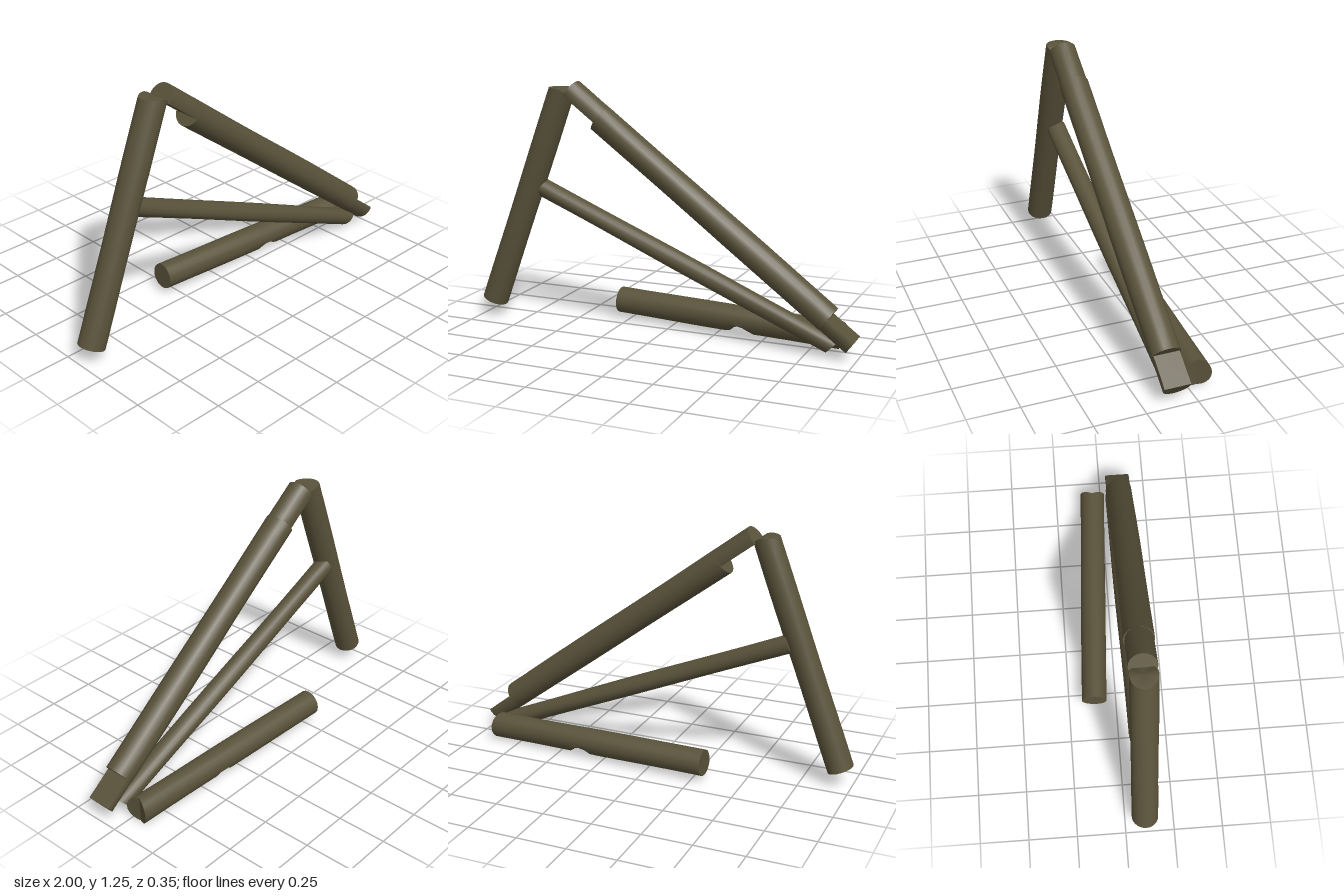
import * as THREE from 'three';
import { toCreasedNormals } from 'three/addons/utils/BufferGeometryUtils.js';

const bark = new THREE.MeshStandardMaterial({ color: 0x59523a });
bark.name = 'dark bark';

// Round log from a to b. Local x points across the log (upward for logs that lean right),
// local y runs along it. shape(p, t) can carve each point, with t from 0 at a to 1 at b.
function log(name, a, b, rx, rz, { shape, wobble = 0.02, seed = 0, rings = 14 } = {}) {
  const start = new THREE.Vector3(...a), end = new THREE.Vector3(...b);
  const dir = end.clone().sub(start), length = dir.length();
  dir.normalize();
  const across = new THREE.Vector3(0, 0, 1).cross(dir).normalize();
  const side = across.clone().cross(dir);
  const geo = new THREE.CylinderGeometry(1, 1, length, 20, rings);
  const pos = geo.attributes.position;
  const p = new THREE.Vector3();
  for (let i = 0; i < pos.count; i++) {
    p.fromBufferAttribute(pos, i);
    const t = p.y / length + 0.5;
    const angle = Math.atan2(p.z, p.x);
    // gentle hand-hewn unevenness
    const k = 1 + wobble * (Math.sin(t * 9 + seed) * 0.6 + Math.sin(angle * 3 + t * 5 + seed * 2) * 0.6);
    p.x *= rx * k;
    p.z *= rz * k;
    if (shape) shape(p, t);
    pos.setXYZ(i, p.x, p.y, p.z);
  }
  geo.applyMatrix4(new THREE.Matrix4().makeBasis(across, dir, side));
  const mid = start.add(end).multiplyScalar(0.5);
  geo.translate(mid.x, mid.y, mid.z);
  const mesh = new THREE.Mesh(toCreasedNormals(geo, 0.6), bark);
  mesh.name = name;
  return mesh;
}

export function createModel() {
  const model = new THREE.Group();
  model.name = 'logFrame';

  // Leaning post with a chamfered top
  model.add(log('post', [-0.937, 0.088, 0.102], [-0.523, 1.205, 0.102], 0.066, 0.067, {
    seed: 1,
    shape: (p, t) => {
      if (t > 0.99) p.y -= Math.abs(p.x + 0.01) * 0.35 - 0.015;
    },
  }));

  // Long sloping beam: full-round middle with a half-lap tongue at each end
  const along = (t) => [0.8 * t + 0.6 * 0.671, -0.6 * t + 0.8 * 0.671, 0.101];
  const beam = new THREE.Group();
  beam.name = 'slopingBeam';
  beam.add(log('beamMiddle', along(-0.893), along(0.572), 0.069, 0.072, { seed: 2 }));
  beam.add(log('upperTongue', along(-1.1), along(-0.88), 0.069, 0.068, {
    wobble: 0.01, rings: 3, shape: (p) => { p.x = Math.max(p.x, -0.016); },
  }));
  beam.add(log('lowerTongue', along(0.555), along(0.733), 0.067, 0.067, {
    wobble: 0.01, rings: 3, shape: (p) => { p.x = Math.min(p.x, 0.013); },
  }));
  model.add(beam);

  // Thinner brace between the post and the foot of the beam
  model.add(log('brace', [-0.665, 0.706, 0.082], [0.88, 0.06, 0.078], 0.046, 0.051, {
    seed: 3, wobble: 0.04,
    shape: (p, t) => {
      if (t > 0.99) p.y += p.x * 0.4; // slanted foot cut
    },
  }));

  // Ground log with a small notch underneath and a hollowed end
  model.add(log('groundLog', [-0.308, 0.096, -0.115], [0.893, 0.073, -0.046], 0.067, 0.066, {
    seed: 4, rings: 48,
    shape: (p, t) => {
      const d = Math.abs(t - 0.565) / 0.045;
      if (d < 1) p.x = Math.max(p.x, -0.067 + 0.042 * Math.sqrt(1 - d * d));
      if (t > 0.99) p.y += Math.abs(p.z) * 0.35 - 0.018;
    },
  }));

  return model;
}
